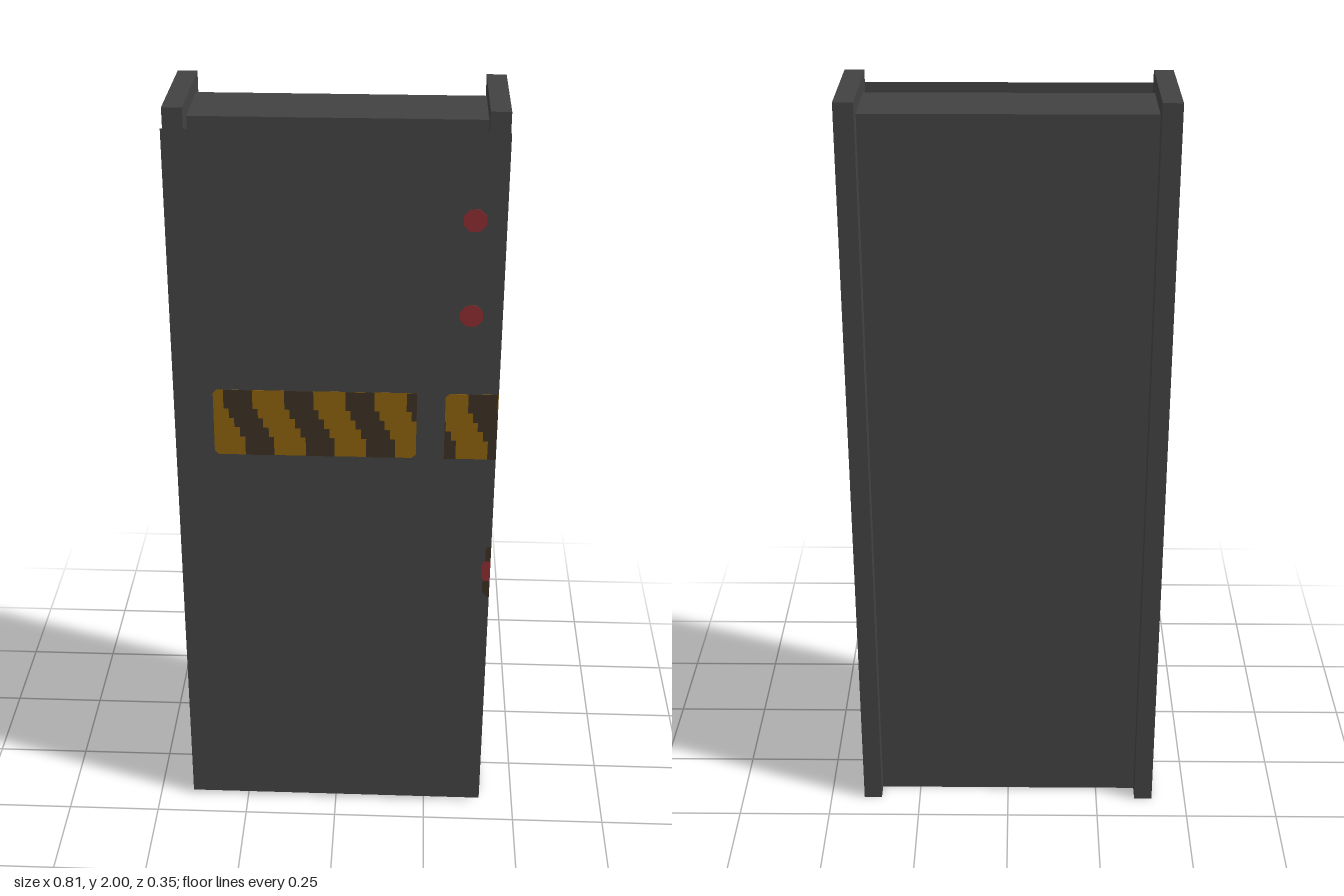
import * as THREE from 'three';
import { mergeGeometries } from 'three/addons/utils/BufferGeometryUtils.js';

const mat = (name, color, side = THREE.FrontSide) => {
  const m = new THREE.MeshStandardMaterial({ color, side });
  m.name = name;
  return m;
};

export function createModel() {
  const group = new THREE.Group();
  const steel = mat('dark grey steel', 0x424242);
  const sheet = mat('dark grey sheet', 0x424242, THREE.DoubleSide);
  const yellow = mat('hazard yellow', 0x8a610f);
  const dark = mat('hazard dark', 0x3b3022);
  const red = mat('signal red', 0x8a2c30);

  const add = (name, geo, material, x = 0, y = 0, z = 0) => {
    const mesh = new THREE.Mesh(geo, material);
    mesh.name = name;
    mesh.position.set(x, y, z);
    group.add(mesh);
    return mesh;
  };

  const W = 0.407, FRONT = 0.1715;

  // Door slab and its two side posts
  add('doorSlab', new THREE.BoxGeometry(0.718, 1.96, 0.195), steel, 0, 0.98, -0.0275);
  for (const s of [-1, 1]) {
    add(s > 0 ? 'leftPost' : 'rightPost', new THREE.BoxGeometry(0.049, 2, 0.3095),
      steel, s * (W - 0.0245), 1, -0.0185);
  }

  // Thin front sheet standing clear of the slab
  add('frontSheet', new THREE.PlaneGeometry(2 * W, 1.95), sheet, 0, 0.985, FRONT);

  // Painted plates straddle the sheet so they show on both sides
  const plate = (name, points, material, t) => {
    const shape = new THREE.Shape(points.map(([x, y]) => new THREE.Vector2(x, y)));
    add(name, new THREE.ExtrudeGeometry(shape, { depth: t, bevelEnabled: false }),
      material, 0, 0, FRONT - t / 2);
  };

  // Two hazard panels share one run of stepped diagonal stripes
  const y0 = 1.107, y1 = 1.29, rows = 7, rowH = (y1 - y0) / rows, c = 0.01;
  const shift = [0, 0, 0.013, 0.026, 0.04, 0.053, 0.053];
  const panels = [[-0.308, 0.204], [0.275, W]];
  panels.forEach(([a, b], i) => {
    const e = i ? 0 : c;
    plate('hazardPanel', [[a + c, y0], [b - e, y0], [b, y0 + e], [b, y1 - e],
      [b - e, y1], [a + c, y1], [a, y1 - c], [a, y0 + c]], yellow, 0.002);
    const bits = [];
    for (let k = 0; k < 5; k++) {
      for (let r = 0; r < rows; r++) {
        const start = -0.282 + k * 0.1535 + shift[r];
        const left = Math.max(a, start), right = Math.min(b, start + 0.073);
        if (right - left < 0.002) continue;
        const g = new THREE.BoxGeometry(right - left, rowH, 0.004);
        g.translate((left + right) / 2, y1 - (r + 0.5) * rowH, FRONT);
        bits.push(g);
      }
    }
    add('hazardStripes', mergeGeometries(bits), dark);
  });

  // Red signal dots
  for (const y of [1.747, 1.502]) {
    const dot = new THREE.CylinderGeometry(0.03, 0.03, 0.003, 8);
    dot.rotateY(Math.PI / 8).rotateX(Math.PI / 2);
    add('signalDot', dot, red, 0.331, y, FRONT);
  }

  // Handle marking cut off by the sheet's edge
  plate('handleMarkTop', [[0.393, 0.803], [W, 0.803], [W, 0.848], [0.4, 0.848], [0.393, 0.838]], dark, 0.003);
  plate('handleMark', [[0.391, 0.742], [W, 0.742], [W, 0.803], [0.391, 0.803], [0.384, 0.79], [0.384, 0.755]], red, 0.003);
  plate('handleMarkBottom', [[0.4, 0.692], [W, 0.692], [W, 0.742], [0.388, 0.742], [0.388, 0.71]], dark, 0.003);

  return group;
}
